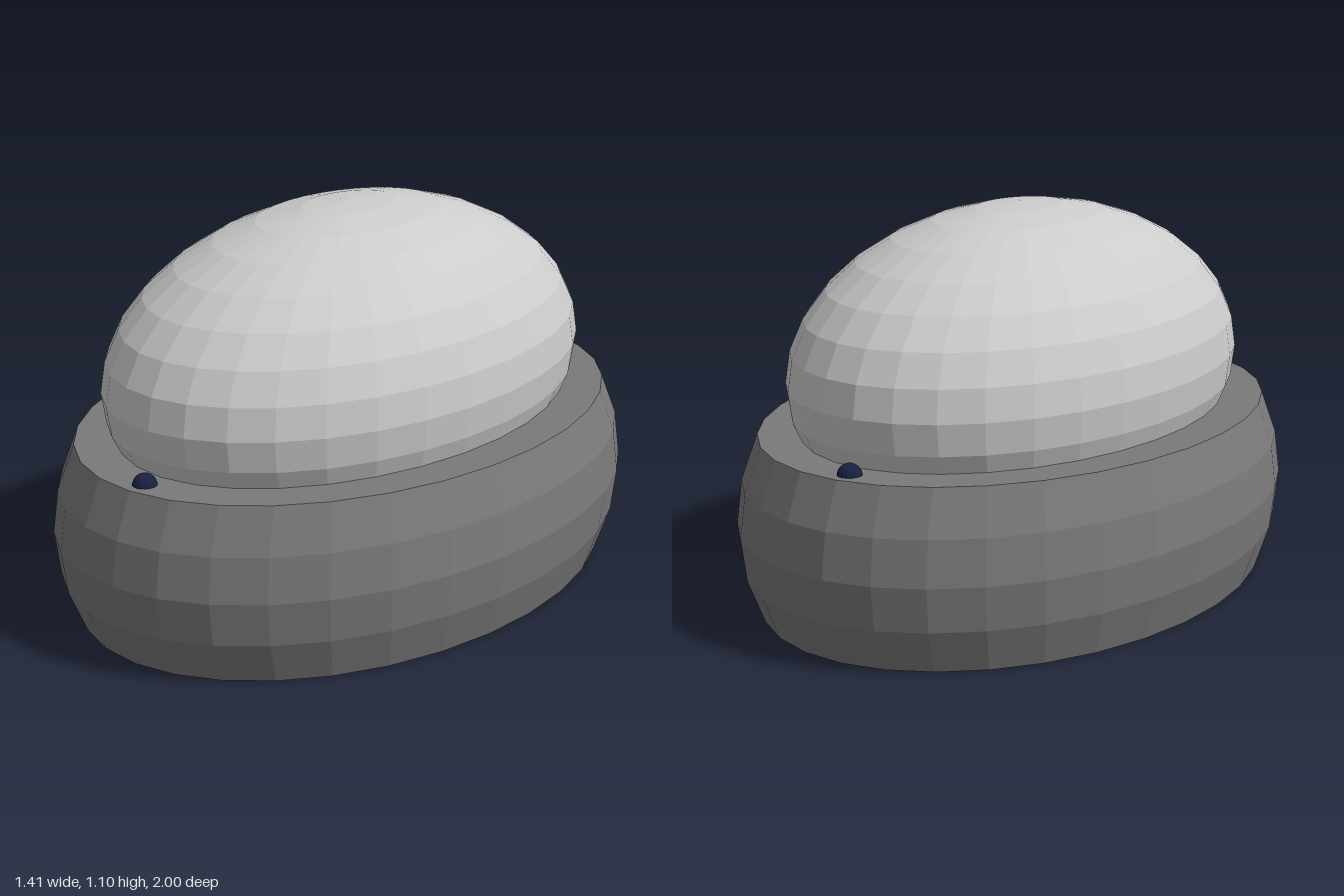
import * as THREE from 'three';

const material = (color) => new THREE.MeshStandardMaterial({ color, flatShading: true });

export function createModel() {
  const group = new THREE.Group();
  const add = (name, geometry, mat) => {
    const mesh = new THREE.Mesh(geometry, mat);
    mesh.name = name;
    group.add(mesh);
    return mesh;
  };

  // Oval base with bulging sides and flat top and bottom
  const profile = [[0, 0], [0.925, 0], [0.981, 0.125], [1, 0.25], [0.981, 0.375], [0.925, 0.5], [0, 0.5]]
    .map(([r, y]) => new THREE.Vector2(r, y));
  const base = add('base', new THREE.LatheGeometry(profile, 32), material(0x7a7a7a));
  base.scale.x = 0.707;

  // Ellipsoid dome sunk into the base
  const dome = add('dome', new THREE.SphereGeometry(1, 32, 16), material(0xcccccc));
  dome.scale.set(0.566, 0.46, 0.848);
  dome.position.y = 0.643;

  // Small dark beads on the rim, front and back
  const beadMaterial = material(0x1a2140);
  for (const [name, side] of [['frontBead', 1], ['backBead', -1]]) {
    const bead = add(name, new THREE.SphereGeometry(0.034, 16, 12), beadMaterial);
    bead.position.set(0, 0.498, side * 0.867);
  }
  return group;
}
